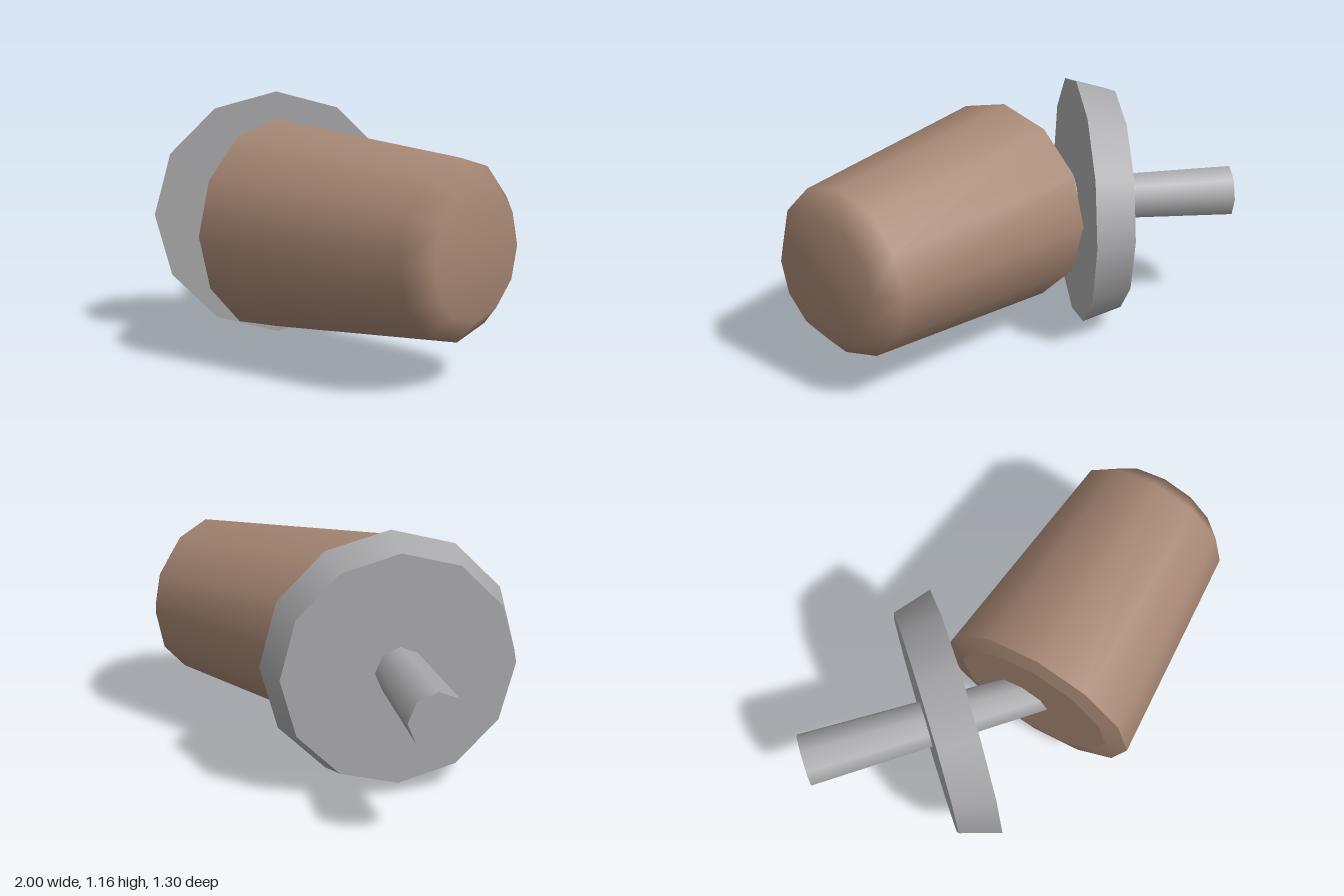
import * as THREE from 'three';

export function createModel() {
  const model = new THREE.Group();
  const steel = new THREE.MeshStandardMaterial({ color: 0xa9a9ab });
  steel.name = 'grey metal';
  const cork = new THREE.MeshStandardMaterial({ color: 0xa68673 });
  cork.name = 'brown cork';

  const add = (parent, name, geometry, material) => {
    const mesh = new THREE.Mesh(geometry, material);
    mesh.name = name;
    parent.add(mesh);
    return mesh;
  };

  // Tapered grip lying along x; profile points are [radius, x]
  const grip = new THREE.Group();
  grip.name = 'grip';
  grip.position.set(0, 0.585, 0.172);
  grip.rotation.z = -Math.PI / 2;
  model.add(grip);
  const lathe = (points) =>
    new THREE.LatheGeometry(points.map(([r, x]) => new THREE.Vector2(r, x)), 12);
  add(grip, 'gripBody', lathe([[0.477, -0.128], [0.382, 0.905], [0.28, 1], [0, 1]]), cork);
  add(grip, 'gripBase', lathe([[0, -0.15], [0.378, -0.15]]), cork);
  add(grip, 'gripBaseRim', lathe([[0.378, -0.15], [0.477, -0.128]]), cork);

  // Shaft and disc share one axis, turned in the horizontal plane
  const axle = new THREE.Group();
  axle.name = 'axle';
  axle.position.set(-0.357, 0.585, -0.065);
  axle.rotation.y = -0.716;
  model.add(axle);
  const alongAxis = (front, back, start, end, sides) =>
    new THREE.CylinderGeometry(front, back, end - start, sides)
      .translate(0, (start + end) / 2, 0)
      .rotateZ(-Math.PI / 2);
  add(axle, 'disc', alongAxis(0.58, 0.525, -0.183, 0, 12), steel);
  add(axle, 'shaft', alongAxis(0.096, 0.124, -0.748, 0.46, 8), steel);

  return model;
}
